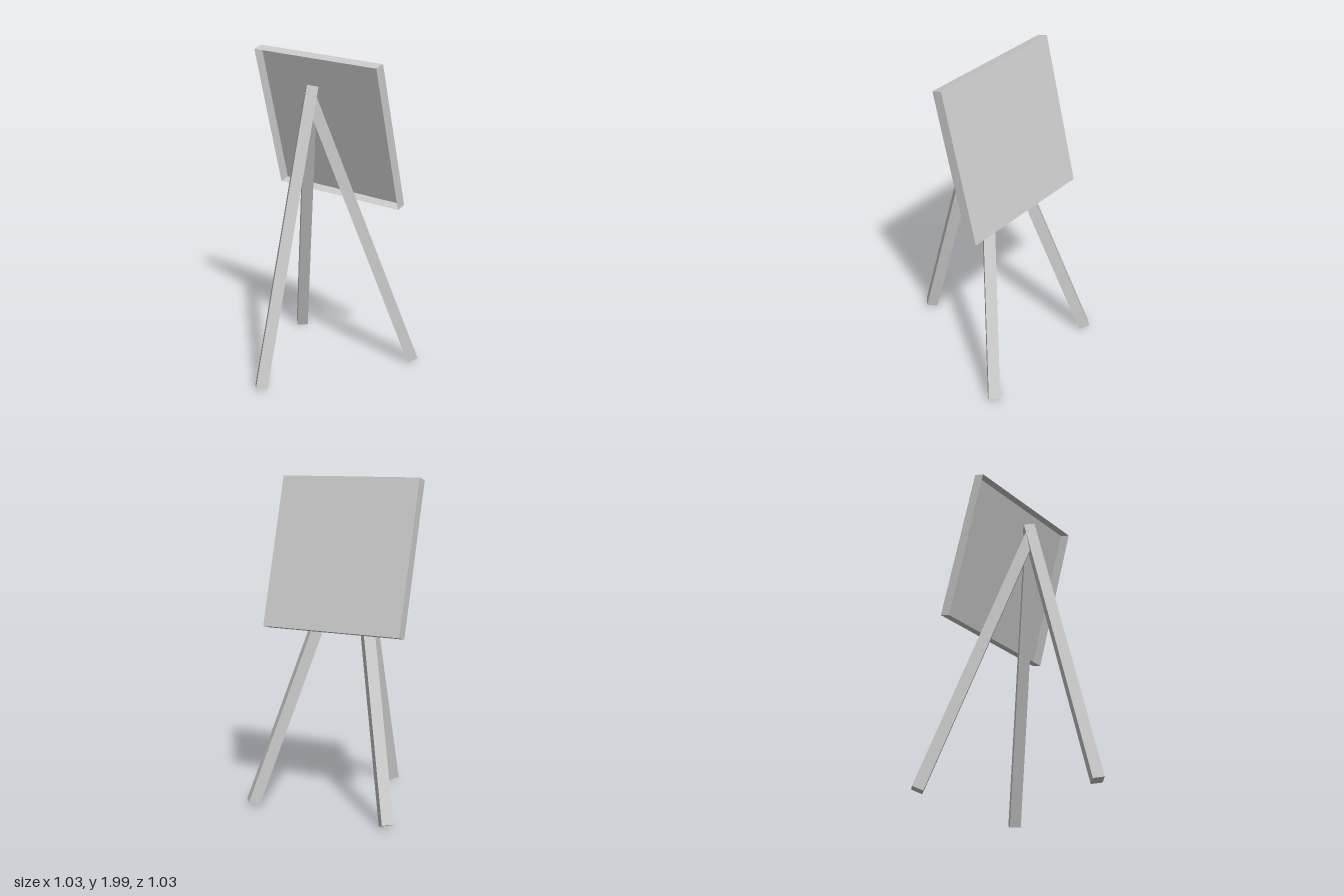
import * as THREE from 'three';

const LEG_LENGTH = 1.865;
const LEG_SIDE = 0.07;
const TILT = THREE.MathUtils.degToRad(15);

export function createModel() {
  const model = new THREE.Group();
  model.name = 'easel';
  const material = new THREE.MeshStandardMaterial({
    color: 0xcccccc, flatShading: true, side: THREE.DoubleSide,
  });

  // Square bar standing on a foot point, turned about its axis and leaning towards the apex
  function addLeg(name, foot, heading, lean, twist) {
    const geometry = new THREE.BoxGeometry(LEG_SIDE, LEG_LENGTH, LEG_SIDE);
    geometry.translate(0, LEG_LENGTH / 2, 0);
    geometry.rotateY(twist);
    geometry.rotateZ(lean);
    geometry.rotateY(heading);
    const leg = new THREE.Mesh(geometry, material);
    leg.name = name;
    leg.position.set(...foot);
    model.add(leg);
  }

  // Single leg behind the board, set corner-on
  addLeg('rearLeg', [-0.467, 0.018, 0], Math.PI, TILT, Math.PI / 4);

  // Pair of legs under the board, splayed diagonally
  const splay = Math.atan(Math.tan(TILT) * Math.SQRT2);
  for (const side of [1, -1]) {
    addLeg(side > 0 ? 'frontLegNear' : 'frontLegFar',
      [0.465, 0.0175, side * 0.465], -side * Math.PI / 4, splay, 0);
  }

  // Stretched canvas: a shallow box, open at the back
  const canvasGeometry = new THREE.BoxGeometry(0.066, 0.9375, 0.94);
  const index = Array.from(canvasGeometry.index.array);
  index.splice(6, 6); // drop the back (-x) face
  canvasGeometry.setIndex(index);
  canvasGeometry.clearGroups();
  const canvas = new THREE.Mesh(canvasGeometry, material);
  canvas.name = 'canvasBoard';
  canvas.rotation.z = TILT;
  canvas.position.set(0.175, 1.5385, 0);
  model.add(canvas);

  return model;
}
